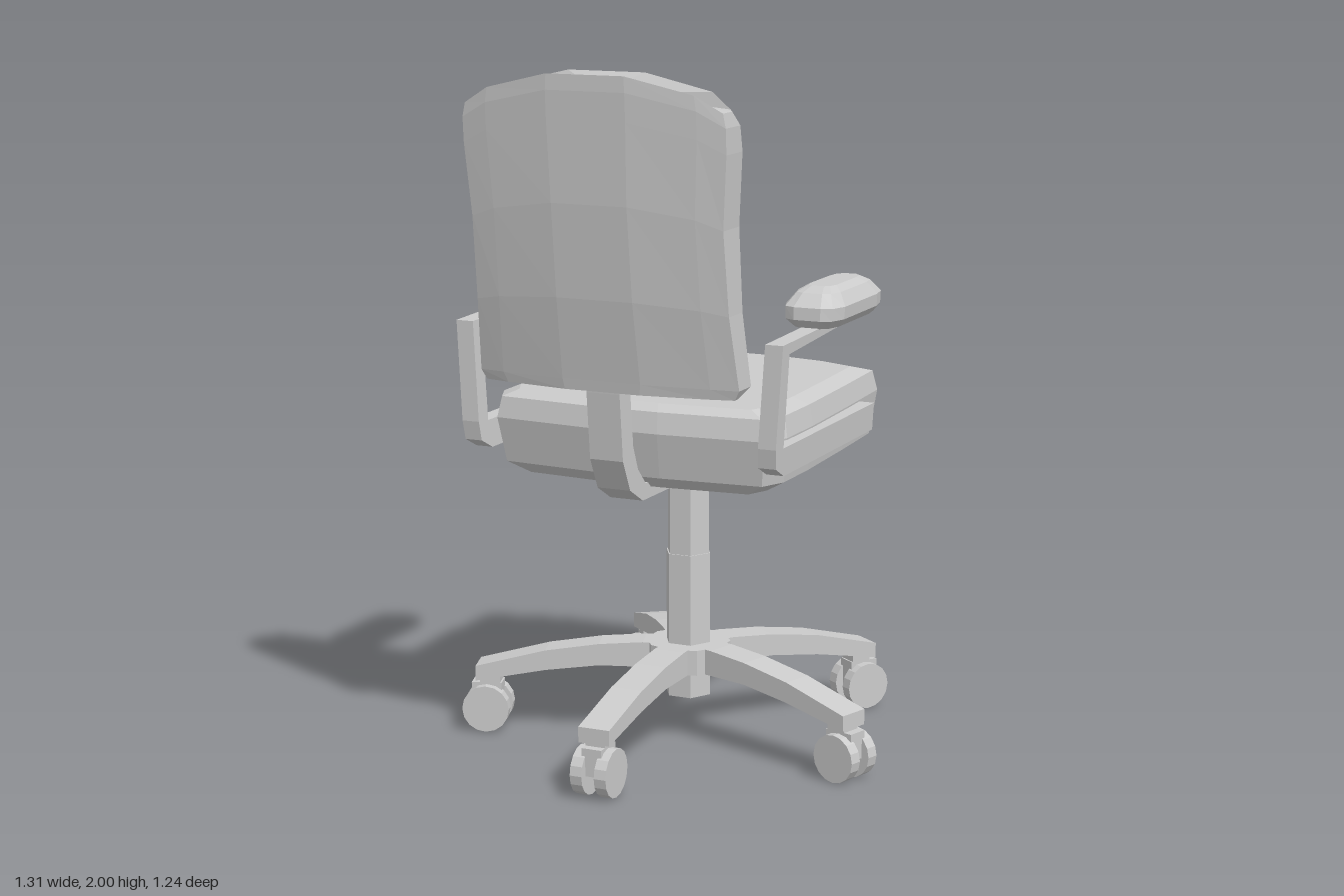
import * as THREE from 'three';

const AXIS_Z = -0.045; // centre line of the column and star base
const material = new THREE.MeshStandardMaterial({ color: 0xcccccc, flatShading: true });

function add(parent, name, geometry, x = 0, y = 0, z = 0) {
  const mesh = new THREE.Mesh(geometry, material);
  mesh.name = name;
  mesh.position.set(x, y, z);
  parent.add(mesh);
  return mesh;
}

// Skin a stack of rings (bottom to top, each running +x -> +z -> -x) and cap both ends
function loft(rings) {
  const n = rings[0].length;
  const positions = rings.flat(2);
  const index = [];
  for (let r = 0; r < rings.length - 1; r++) {
    for (let i = 0; i < n; i++) {
      const a = r * n + i, b = r * n + (i + 1) % n;
      index.push(a, a + n, b + n, a, b + n, b);
    }
  }
  [0, rings.length - 1].forEach((r) => {
    const c = positions.length / 3;
    for (let k = 0; k < 3; k++) positions.push(rings[r].reduce((s, p) => s + p[k], 0) / n);
    for (let i = 0; i < n; i++) {
      const a = r * n + i, b = r * n + (i + 1) % n;
      if (r === 0) index.push(c, a, b);
      else index.push(c, b, a);
    }
  });
  const geometry = new THREE.BufferGeometry();
  geometry.setAttribute('position', new THREE.Float32BufferAttribute(positions, 3));
  geometry.setIndex(index);
  geometry.computeVertexNormals();
  return geometry;
}

// Cushion from a right-half outline and levels [y, x scale, z scale, z shift]
function cushion(half, levels) {
  const outline = [...half, ...half.map(([x, z]) => [-x, z]).reverse()];
  return loft(levels.map(([y, sx, sz, dz]) => outline.map(([x, z]) => [x * sx, y, z * sz + dz])));
}

// Side profile in (u, y), extruded to a centred thickness
function plate(points, width) {
  const shape = new THREE.Shape(points.map(([u, y]) => new THREE.Vector2(u, y)));
  return new THREE.ExtrudeGeometry(shape, { depth: width, bevelEnabled: false }).translate(0, 0, -width / 2);
}

function backrestGeometry() {
  const us = [1, 0.8, 0.3, -0.3, -0.8, -1];
  // height fraction, back z, front z, half width
  const rows = [
    [0, 0.525, 0.43, 0.375], [0.035, 0.53, 0.375, 0.39], [0.3, 0.57, 0.405, 0.377],
    [0.6, 0.6, 0.42, 0.373], [0.86, 0.615, 0.435, 0.388], [0.95, 0.62, 0.45, 0.388],
    [1, 0.62, 0.485, 0.38],
  ];
  const crown = (u) => (Math.abs(u) > 0.9 ? 1.91 : Math.abs(u) > 0.5 ? 1.955 : 2);
  return loft(rows.map(([t, zb, zf, w]) => {
    const point = (u, z, s = 1) => [u * w * s, 1.135 + t * (crown(u) - 1.135), z];
    const back = us.map((u) => point(u, zb - 0.045 * u * u));
    const front = us.map((u) => point(-u, zf - 0.02 * u * u, Math.abs(u) === 1 ? 0.93 : 1));
    return [...back, point(-1, zf + 0.03), ...front, point(1, zf + 0.03)];
  }));
}

function addArm(parent, side) {
  const arm = new THREE.Group();
  arm.name = side > 0 ? 'leftArm' : 'rightArm';
  parent.add(arm);

  // C-shaped bracket, leaning outward towards the top
  const bracket = plate([
    [-0.3, 0.915], [0.37, 0.915], [0.43, 0.945], [0.44, 1.0], [0.435, 1.285], [-0.17, 1.3],
    [-0.17, 1.285], [0.385, 1.255], [0.385, 0.995], [-0.3, 0.995],
  ], 0.052).rotateY(-Math.PI / 2);
  const p = bracket.attributes.position;
  for (let i = 0; i < p.count; i++) {
    p.setX(i, p.getX(i) + side * (0.447 + (p.getY(i) - 0.92) * 0.06));
  }
  bracket.computeVertexNormals();
  add(arm, 'armBracket', bracket);

  // padded rest
  const half = [[0.04, -0.205], [0.075, -0.17], [0.087, -0.11], [0.087, 0.14], [0.07, 0.19], [0.04, 0.205]];
  add(arm, 'armPad', cushion(half, [
    [1.29, 0.7, 0.93, -0.01], [1.315, 0.97, 1, 0], [1.35, 1, 0.99, 0],
    [1.385, 0.72, 0.8, 0], [1.4, 0.45, 0.6, 0],
  ]), side * 0.468);
}

function addLeg(base, angle) {
  const leg = new THREE.Group();
  leg.name = 'baseLeg';
  leg.rotation.y = angle - Math.PI / 2;
  base.add(leg);

  // arched spoke
  add(leg, 'spoke', plate([
    [0.04, 0.29], [0.13, 0.29], [0.26, 0.28], [0.42, 0.255], [0.63, 0.2],
    [0.63, 0.155], [0.42, 0.195], [0.26, 0.215], [0.04, 0.215],
  ], 0.095));

  // twin-wheel caster
  add(leg, 'casterStem', new THREE.BoxGeometry(0.06, 0.07, 0.06), 0.59, 0.15, 0);
  add(leg, 'casterHousing', new THREE.BoxGeometry(0.09, 0.08, 0.06), 0.6, 0.105, 0);
  for (const s of [-1, 1]) {
    add(leg, 'wheel', new THREE.CylinderGeometry(0.07, 0.07, 0.036, 16).rotateX(Math.PI / 2), 0.6, 0.07, s * 0.037);
  }
}

export function createModel() {
  const chair = new THREE.Group();
  chair.name = 'officeChair';

  // seat cushion
  const seat = [
    [0.12, -0.545], [0.3, -0.515], [0.425, -0.465], [0.437, -0.2], [0.447, 0.1],
    [0.445, 0.28], [0.41, 0.36], [0.1, 0.385],
  ];
  add(chair, 'seat', cushion(seat, [
    [0.835, 0.82, 0.84, -0.005], [0.87, 0.96, 0.945, -0.005], [1.0, 1, 1, 0],
    [1.06, 0.975, 0.97, 0], [1.08, 0.87, 0.86, 0.015],
  ]));

  // backrest and its curved support
  add(chair, 'backrest', backrestGeometry());
  add(chair, 'backSupport', plate([
    [-0.06, 0.8], [0.37, 0.805], [0.45, 0.85], [0.495, 0.94], [0.515, 1.13], [0.52, 1.2],
    [0.45, 1.2], [0.445, 1.1], [0.43, 0.97], [0.4, 0.9], [0.35, 0.85], [-0.06, 0.85],
  ], 0.1).rotateY(-Math.PI / 2));

  for (const side of [-1, 1]) addArm(chair, side);

  // hexagonal column in two steps, vertices along x
  const hex = (r, h) => new THREE.CylinderGeometry(r, r, h, 6).rotateY(Math.PI / 6);
  add(chair, 'columnLower', hex(0.07, 0.43), 0, 0.345, AXIS_Z);
  add(chair, 'columnUpper', hex(0.066, 0.3), 0, 0.7, AXIS_Z);

  // five-star base
  const base = new THREE.Group();
  base.name = 'starBase';
  base.position.z = AXIS_Z;
  chair.add(base);
  add(base, 'hub', new THREE.CylinderGeometry(0.125, 0.125, 0.075, 10), 0, 0.2525, 0);
  for (let i = 0; i < 5; i++) addLeg(base, (i * Math.PI * 2) / 5);

  return chair;
}
